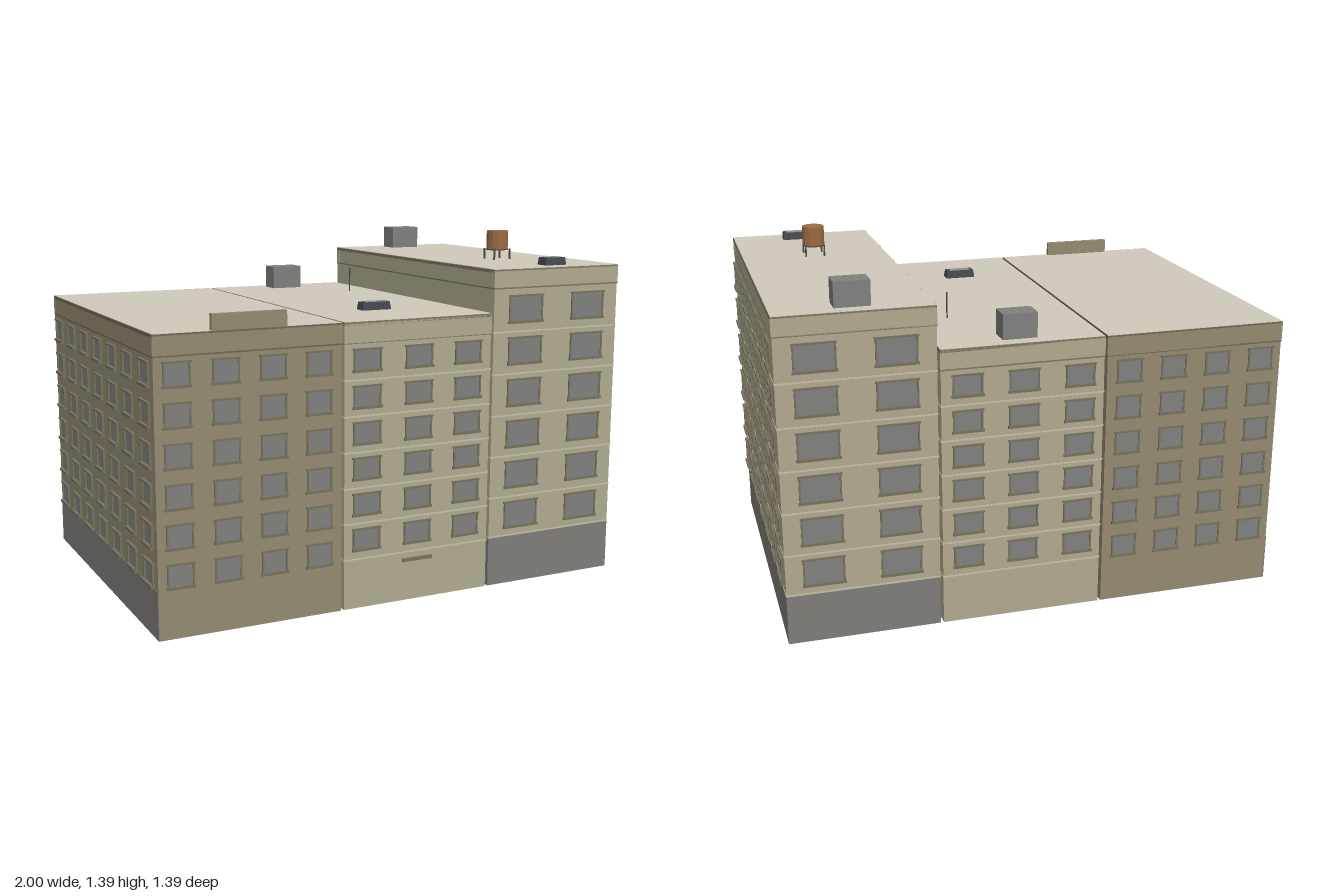
import * as THREE from 'three';
import { mergeGeometries } from 'three/addons/utils/BufferGeometryUtils.js';

const mat = (color) => new THREE.MeshStandardMaterial({ color });
const MATS = {
  darkWall: mat(0x938a70), paleWall: mat(0xb0aa90), roof: mat(0xcfcabb), darkRim: mat(0x6e6852),
  rim: mat(0x7d7862), band: mat(0xc6c0a8), base: mat(0x7f7d79), glass: mat(0x80807e),
  trim: mat(0x77725e), shed: mat(0x80807e), metal: mat(0x45484c), skyGlass: mat(0x8b939b),
  wood: mat(0x9c6b43), hoop: mat(0x6e4a2e),
};
const DEPTH = 0.685; // half depth of every building

// Box given by its minimum and maximum corners
function boxGeo(x0, x1, y0, y1, z0, z1) {
  return new THREE.BoxGeometry(x1 - x0, y1 - y0, z1 - z0)
    .translate((x0 + x1) / 2, (y0 + y1) / 2, (z0 + z1) / 2);
}
function add(parent, name, geo, material) {
  const mesh = new THREE.Mesh(geo, material);
  mesh.name = name;
  parent.add(mesh);
  return mesh;
}
const addBox = (parent, name, material, ...b) => add(parent, name, boxGeo(...b), material);

// One facade of windows: merged panes and merged frames, sills and lintels
function windowWall(parent, name, columns, rows, w, h, out, place) {
  const panes = [], frames = [], t = 0.007;
  for (const x of columns) for (const y of rows) {
    const l = x - w / 2, r = x + w / 2, b = y - h / 2, u = y + h / 2;
    panes.push(boxGeo(l, r, b, u, -0.004, 0.002));
    frames.push(
      boxGeo(l - t / 2, l + t / 2, b, u, -0.004, out * 0.6),
      boxGeo(r - t / 2, r + t / 2, b, u, -0.004, out * 0.6),
      boxGeo(l - t, r + t, u - t / 2, u + t / 2, -0.004, out * 0.8),
      boxGeo(l - t, r + t, b - t, b + t / 2, -0.004, out),
    );
  }
  const group = new THREE.Group();
  group.name = name;
  add(group, 'windowPanes', mergeGeometries(panes), MATS.glass);
  add(group, 'windowFrames', mergeGeometries(frames), MATS.trim);
  place(group);
  parent.add(group);
}

const SIDE_COLUMNS = [-3, -2, -1, 0, 1, 2, 3].map((i) => i * 0.198);

function building(o) {
  const g = new THREE.Group();
  g.name = o.name;
  const { x0, x1, height: H } = o;
  const cx = (x0 + x1) / 2, e = 0.002;
  // Wall block, cornice with corner posts, rim and roof
  addBox(g, 'walls', o.wall, x0, x1, o.baseTop || 0, H - 0.008, -DEPTH, DEPTH);
  if (o.baseTop) addBox(g, 'groundFloor', MATS.base, x0, x1, 0, o.baseTop, -DEPTH, DEPTH);
  addBox(g, 'corniceLedge', o.rim, x0 - e, x1 + e, o.cornice - 0.003, o.cornice + 0.003, -DEPTH - e, DEPTH + e);
  for (const s of [-1, 1])
    addBox(g, 'parapet', o.wall, x0 - e, x1 + e, o.cornice, H - 0.008, s * (DEPTH - 0.008) - 0.01, s * (DEPTH - 0.008) + 0.01);
  addBox(g, 'roofRim', o.rim, x0 - e, x1 + e, H - 0.014, H - 0.002, -DEPTH - e, DEPTH + e);
  addBox(g, 'roof', MATS.roof, x0, x1, H - 0.006, H, -DEPTH, DEPTH);
  // Floor bands
  for (const y of o.bands || [])
    addBox(g, 'floorBand', MATS.band, x0 - e, x1 + e, y - 0.003, y + 0.003, -DEPTH - e, DEPTH + e);
  // Front and back windows share their columns
  const cols = o.columns.map((x) => x - cx);
  windowWall(g, 'frontWindows', cols, o.rows, o.w, o.h, 0.008, (w) => w.position.set(cx, 0, DEPTH));
  windowWall(g, 'backWindows', cols.map((x) => -x), o.rows, o.w, o.h, 0.008, (w) => {
    w.position.set(cx, 0, -DEPTH);
    w.rotation.y = Math.PI;
  });
  // Windows on the exposed outer side
  if (o.side) windowWall(g, 'sideWindows', SIDE_COLUMNS, o.rows, 0.097, o.h, 0.015, (w) => {
    w.position.set(o.side > 0 ? x1 : x0, 0, 0);
    w.rotation.y = o.side * Math.PI / 2;
  });
  return g;
}

// Low roof light with sloping sides and an inset pane
function skylight(parent, x, z, w, d, y, h) {
  const geo = new THREE.BoxGeometry(w, h, d), p = geo.attributes.position;
  for (let i = 0; i < p.count; i++)
    if (p.getY(i) > 0) p.setXYZ(i, p.getX(i) * 0.92, p.getY(i), p.getZ(i) * 0.85);
  geo.computeVertexNormals();
  add(parent, 'skylightCurb', geo, MATS.metal).position.set(x, y + h / 2, z);
  addBox(parent, 'skylightPane', MATS.skyGlass,
    x - w * 0.35, x + w * 0.35, y + h - 0.004, y + h + 0.002, z - d * 0.3, z + d * 0.3);
}

// Timber tank standing on four legs
function waterTank(x, y, z) {
  const g = new THREE.Group();
  g.name = 'waterTank';
  const wood = MATS.wood.clone();
  wood.flatShading = true;
  add(g, 'tankBarrel', new THREE.CylinderGeometry(0.045, 0.045, 0.08, 12), wood).position.y = 0.08;
  add(g, 'tankFloor', new THREE.CylinderGeometry(0.046, 0.046, 0.005, 12), MATS.hoop).position.y = 0.041;
  for (const sx of [-1, 1]) for (const sz of [-1, 1])
    addBox(g, 'tankLeg', MATS.metal,
      sx * 0.038 - 0.003, sx * 0.038 + 0.003, 0, 0.045, sz * 0.038 - 0.003, sz * 0.038 + 0.003);
  g.position.set(x, y, z);
  return g;
}

export function createModel() {
  const model = new THREE.Group();
  model.name = 'apartmentBlock';

  // Dark building with a raised front panel
  const dark = building({
    name: 'darkBuilding', x0: -0.985, x1: -0.262, height: 1.107, cornice: 1.027,
    wall: MATS.darkWall, rim: MATS.darkRim, side: -1,
    columns: [-0.9, -0.717, -0.535, -0.353], rows: [0.235, 0.38, 0.525, 0.672, 0.818, 0.963], w: 0.096, h: 0.085,
  });
  addBox(dark, 'raisedParapet', MATS.darkWall, -0.768, -0.48, 1.1, 1.165, 0.665, 0.686);
  addBox(dark, 'sidePlinth', MATS.base, -0.987, -0.98, 0, 0.185, -DEPTH, DEPTH);

  // Middle building
  const middle = building({
    name: 'middleBuilding', x0: -0.25, x1: 0.385, height: 1.107, cornice: 1.027,
    wall: MATS.paleWall, rim: MATS.rim, bands: [0.195, 0.335, 0.473, 0.612, 0.75, 0.887],
    columns: [-0.155, 0.066, 0.283], rows: [0.273, 0.411, 0.55, 0.686, 0.824, 0.963], w: 0.11, h: 0.08,
  });
  addBox(middle, 'doorLedge', MATS.trim, 0.002, 0.13, 0.157, 0.17, 0.68, 0.694);
  addBox(middle, 'roofShed', MATS.shed, 0, 0.135, 1.105, 1.205, -0.635, -0.545);
  skylight(middle, 0.035, 0.375, 0.126, 0.056, 1.105, 0.033);
  add(middle, 'aerial', new THREE.CylinderGeometry(0.003, 0.003, 0.105, 6), MATS.metal).position.set(0.257, 1.158, -0.28);

  // Tall building with a grey ground floor
  const tall = building({
    name: 'tallBuilding', x0: 0.397, x1: 0.985, height: 1.275, cornice: 1.2, baseTop: 0.2,
    wall: MATS.paleWall, rim: MATS.rim, bands: [0.2, 0.361, 0.529, 0.694, 0.861, 1.028], side: 1,
    columns: [0.545, 0.84], rows: [0.287, 0.453, 0.619, 0.786, 0.953, 1.118], w: 0.15, h: 0.102,
  });
  addBox(tall, 'roofShed', MATS.shed, 0.623, 0.757, 1.272, 1.37, -0.635, -0.545);
  skylight(tall, 0.728, 0.593, 0.1, 0.058, 1.273, 0.032);
  tall.add(waterTank(0.693, 1.275, 0.247));

  model.add(dark, middle, tall);
  return model;
}
